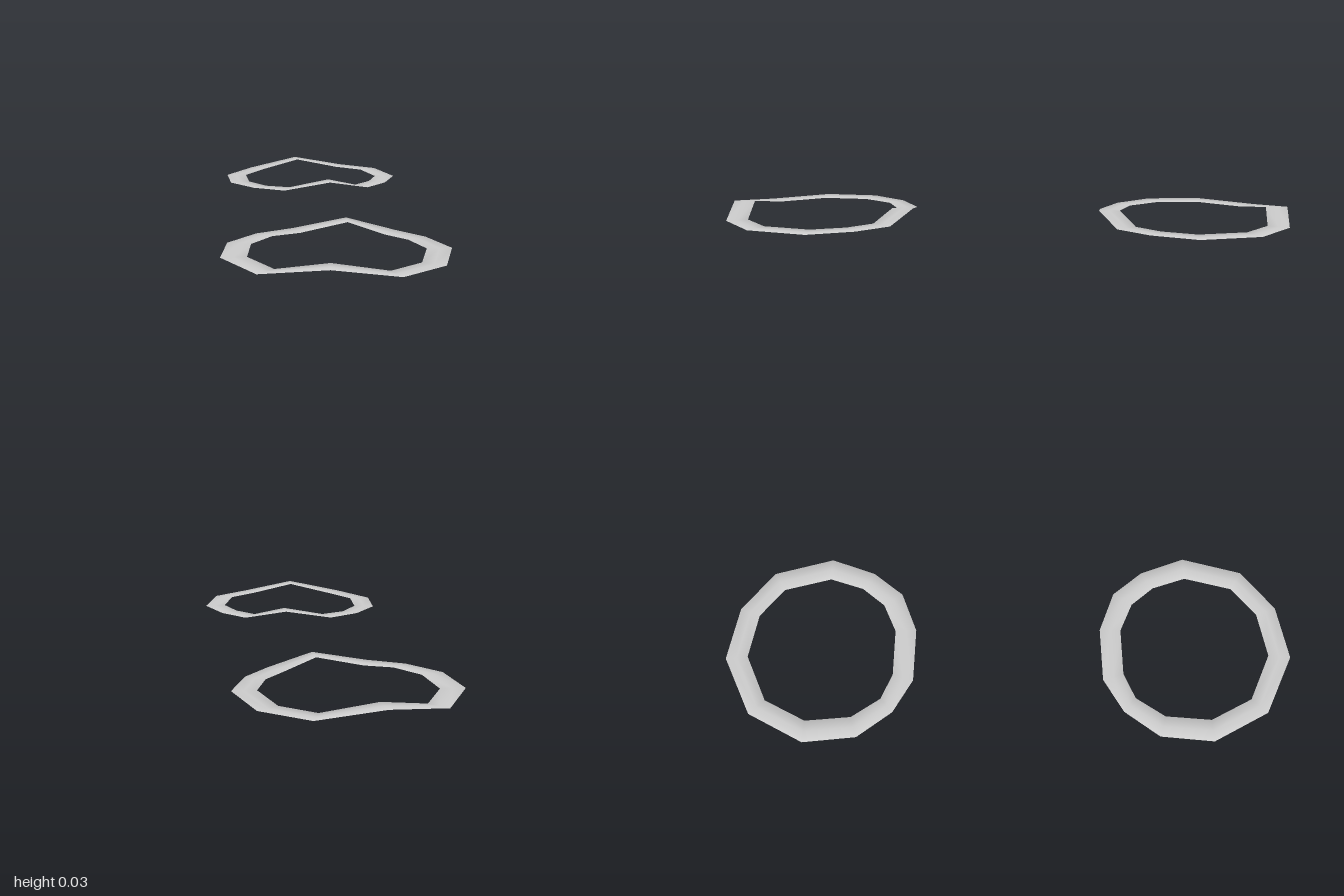
import * as THREE from 'three';

// Rim corners as [x, z], counter-clockwise seen from above
const OUTER = [[-0.05, 1], [0.15, 0.97], [0.29, 0.855], [0.345, 0.645], [0.29, 0.49], [0.207, 0.385],
  [0.055, 0.328], [-0.122, 0.337], [-0.24, 0.407], [-0.33, 0.53], [-0.348, 0.718], [-0.245, 0.912]];
const INNER = [[-0.043, 0.923], [0.125, 0.9], [0.226, 0.815], [0.268, 0.648], [0.23, 0.53], [0.165, 0.45],
  [0.053, 0.402], [-0.1, 0.41], [-0.19, 0.45], [-0.257, 0.552], [-0.27, 0.713], [-0.195, 0.858]];
const CENTRE_Z = 0.663;
const RAISED = [0, 6]; // the two opposite corners that lift off the ground
const LIFT = 0.031;

// Flat irregular band with softly rounded shading; side = 1 front, -1 back
function ringGeometry(side) {
  const n = OUTER.length, positions = [], normals = [], index = [];
  for (let i = 0; i < n; i++) {
    const y = RAISED.includes(i) ? LIFT : 0;
    for (const t of [0, 0.5, 1]) { // outer, middle and inner loops
      const x = THREE.MathUtils.lerp(OUTER[i][0], INNER[i][0], t);
      const z = THREE.MathUtils.lerp(OUTER[i][1], INNER[i][1], t);
      const tilt = 0.5 * (1 - 2 * t);
      const out = new THREE.Vector2(x, z - CENTRE_Z).normalize().multiplyScalar(tilt);
      const normal = new THREE.Vector3(out.x, 1, out.y * side).normalize();
      positions.push(x, y, z * side);
      normals.push(normal.x, normal.y, normal.z);
    }
  }
  for (let i = 0; i < n; i++) {
    for (let k = 0; k < 2; k++) {
      const a = i * 3 + k, b = ((i + 1) % n) * 3 + k;
      if (side > 0) index.push(a, b, a + 1, b, b + 1, a + 1);
      else index.push(a, a + 1, b, b, a + 1, b + 1);
    }
  }
  const geometry = new THREE.BufferGeometry();
  geometry.setAttribute('position', new THREE.Float32BufferAttribute(positions, 3));
  geometry.setAttribute('normal', new THREE.Float32BufferAttribute(normals, 3));
  geometry.setIndex(index);
  return geometry;
}

export function createModel() {
  const model = new THREE.Group();
  model.name = 'ringPair';
  const grey = new THREE.MeshStandardMaterial({ color: 0xcccccc, side: THREE.DoubleSide });
  grey.name = 'lightGrey';
  for (const [name, side] of [['frontRing', 1], ['backRing', -1]]) {
    const ring = new THREE.Mesh(ringGeometry(side), grey);
    ring.name = name;
    model.add(ring);
  }
  return model;
}
